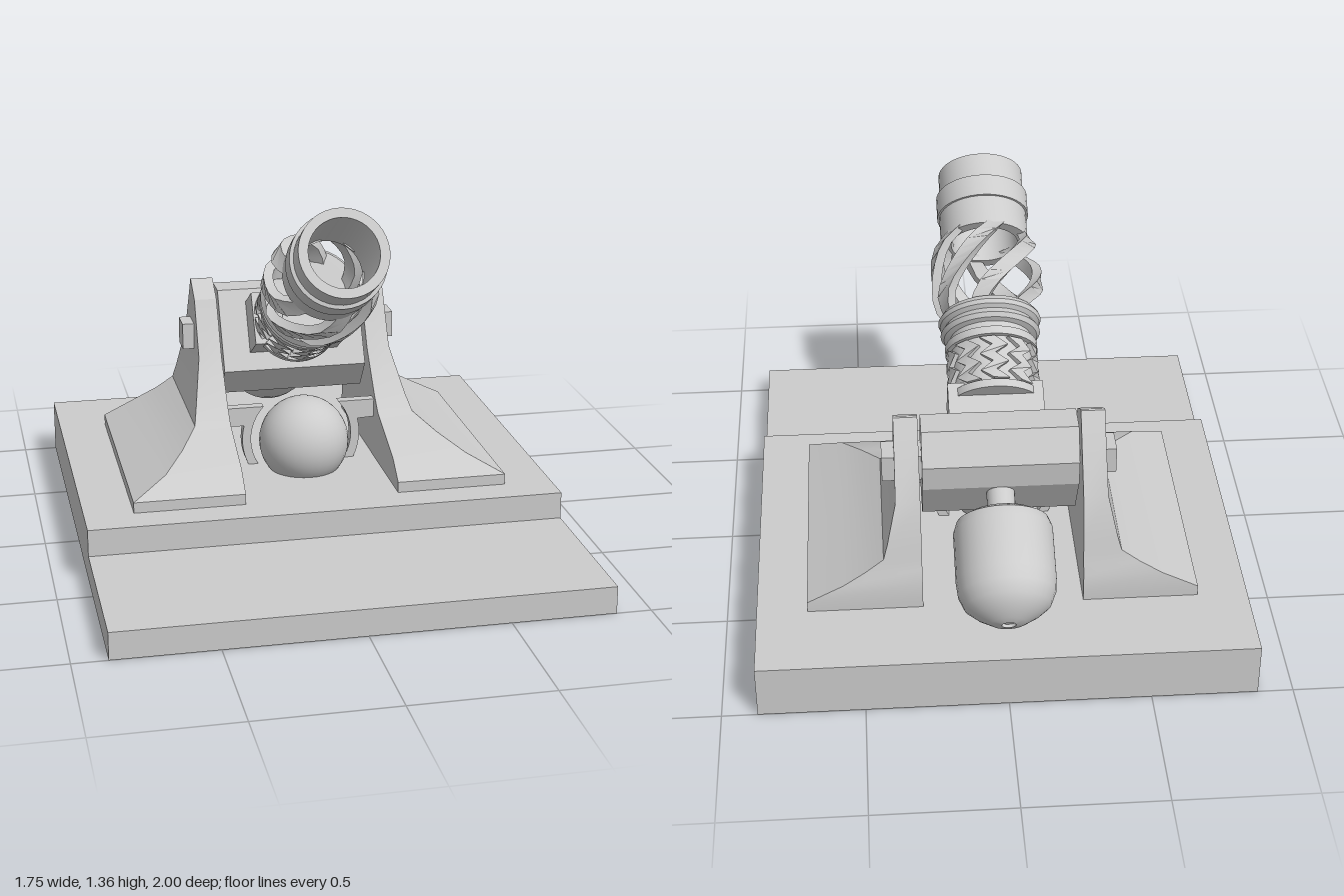
import * as THREE from 'three';
import { toCreasedNormals } from 'three/addons/utils/BufferGeometryUtils.js';

const material = new THREE.MeshStandardMaterial({ color: 0xcccccc });

function add(parent, name, geometry, x = 0, y = 0, z = 0) {
  const mesh = new THREE.Mesh(geometry, material);
  mesh.name = name;
  mesh.position.set(x, y, z);
  parent.add(mesh);
  return mesh;
}

// Skin a list of equal-length rings (counter-clockwise about the travel direction), capped at both ends
function loft(rings, crease = 0.5) {
  const n = rings[0].length, index = [];
  for (let i = 0; i < rings.length - 1; i++) {
    for (let j = 0; j < n; j++) {
      const a = i * n + j, b = i * n + (j + 1) % n;
      index.push(a, b, b + n, a, b + n, a + n);
    }
  }
  const last = (rings.length - 1) * n;
  for (let j = 1; j < n - 1; j++) {
    index.push(0, j + 1, j, last, last + j, last + j + 1);
  }
  const geometry = new THREE.BufferGeometry();
  geometry.setAttribute('position', new THREE.Float32BufferAttribute(rings.flat(2), 3));
  geometry.setIndex(index);
  return toCreasedNormals(geometry, crease);
}

function lathe(profile, segments = 40) {
  const points = profile.map(([r, y]) => new THREE.Vector2(r, y));
  return toCreasedNormals(new THREE.LatheGeometry(points, segments), 0.5);
}

// Strip that hugs the barrel: stations are [angle, height, inner radius, outer radius]
function strip(stations, halfAngle) {
  return loft(stations.map(([a, y, r0, r1]) =>
    [[-1, r0], [1, r0], [1, r1], [-1, r1]].map(([side, r]) => {
      const t = a + side * halfAngle;
      return [Math.sin(t) * r, y, -Math.cos(t) * r];
    })));
}

export function createModel() {
  const model = new THREE.Group();
  model.name = 'mortar';

  // Stepped base
  add(model, 'baseSlab', new THREE.BoxGeometry(1.75, 0.1, 2), 0, 0.05, 0);
  add(model, 'baseStep', new THREE.BoxGeometry(1.75, 0.1, 1.38), 0, 0.15, -0.31);

  // Flared side supports: [y, outer x, front z, back z]
  const levels = [
    [0.2, 0.695, 0.255, -0.7], [0.24, 0.695, 0.255, -0.7], [0.305, 0.565, 0.17, -0.695],
    [0.35, 0.485, 0.05, -0.68], [0.396, 0.42, -0.07, -0.67], [0.45, 0.405, -0.13, -0.658],
    [0.6, 0.372, -0.26, -0.62], [0.8, 0.37, -0.365, -0.5], [0.857, 0.37, -0.455, -0.465],
  ];
  for (const side of [1, -1]) {
    const rings = levels.map(([y, x, front, back]) => {
      const ring = [[0.285, front], [x, front], [x, back], [0.285, back]]
        .map(([px, pz]) => [side * px, y, pz]);
      return side > 0 ? ring : ring.reverse();
    });
    add(model, side > 0 ? 'leftSupport' : 'rightSupport', loft(rings));
  }

  // Square pivot pin
  add(model, 'pivotPin', new THREE.BoxGeometry(0.83, 0.1, 0.1), 0, 0.65, -0.433);

  // Ball and its cradle between the supports
  add(model, 'ball', new THREE.SphereGeometry(0.17, 32, 20), 0, 0.305, -0.09);
  for (const side of [1, -1]) {
    const shape = new THREE.Shape();
    shape.moveTo(side * 0.29, 0.43);
    for (let i = 0; i <= 10; i++) {
      const a = THREE.MathUtils.lerp(0.73, -0.54, i / 10);
      shape.lineTo(side * 0.195 * Math.cos(a), 0.3 + 0.195 * Math.sin(a));
    }
    for (let i = 0; i <= 8; i++) {
      const a = THREE.MathUtils.lerp(-0.45, 0.25, i / 8);
      shape.lineTo(side * 0.228 * Math.cos(a), 0.3 + 0.228 * Math.sin(a));
    }
    shape.lineTo(side * 0.29, 0.36);
    const cradle = new THREE.ExtrudeGeometry(shape, { depth: 0.04, bevelEnabled: false });
    add(model, side > 0 ? 'leftCradle' : 'rightCradle', cradle, 0, 0, -0.18);
  }

  // Tilting assembly: local y runs along the bore, local -z is its upper side
  const tilt = new THREE.Group();
  tilt.name = 'tiltingBarrel';
  tilt.position.set(0, 0.63, -0.433);
  tilt.rotation.x = Math.PI / 3;
  model.add(tilt);

  // Chamfered pivot block, outline given as [upward, along bore]
  const outline = [[0.15, 0.125], [0.205, 0.03], [0.14, -0.08], [0.05, -0.12],
    [-0.15, -0.12], [-0.225, -0.01], [-0.17, 0.115]];
  const blockShape = new THREE.Shape(outline.map(([v, u]) => new THREE.Vector2(v, u)));
  const block = new THREE.ExtrudeGeometry(blockShape, { depth: 0.55, bevelEnabled: false });
  block.translate(0, 0, -0.275).rotateY(Math.PI / 2);
  add(tilt, 'pivotBlock', block);
  add(tilt, 'barrelMount', new THREE.BoxGeometry(0.34, 0.17, 0.2), 0, 0.18, 0);

  // Breech with end rims and a double collar
  add(tilt, 'breech', lathe([
    [0, 0.215], [0.168, 0.215], [0.168, 0.245], [0.15, 0.245], [0.15, 0.425], [0.168, 0.425],
    [0.168, 0.455], [0.148, 0.46], [0.148, 0.485], [0.17, 0.49], [0.182, 0.505], [0.17, 0.522],
    [0.165, 0.53], [0.182, 0.54], [0.188, 0.555], [0.175, 0.575], [0.13, 0.575], [0, 0.56],
  ]));

  // Raised zigzags around the breech
  const zigzags = 10;
  for (let i = 0; i < zigzags; i++) {
    const a = i / zigzags * Math.PI * 2;
    const stations = [];
    for (let k = 0; k <= 5; k++) {
      stations.push([a + (k % 2 ? 0.14 : -0.14), 0.252 + k * 0.033, 0.14, 0.168]);
    }
    add(tilt, 'zigzag', strip(stations, 0.17));
  }

  // Open cage of twisted, bulging struts
  const struts = 6;
  for (let i = 0; i < struts; i++) {
    const a = (i + 0.5) / struts * Math.PI * 2;
    const stations = [];
    for (let k = 0; k <= 10; k++) {
      const t = k / 10;
      const r = 0.155 + 0.05 * Math.min(1, 1.5 * Math.sin(Math.PI * t));
      stations.push([a + 0.85 - 1.7 * t, 0.56 + 0.35 * t, r - 0.035, r]);
    }
    add(tilt, 'cageStrut', strip(stations, 0.19));
  }

  // Hollow muzzle
  add(tilt, 'muzzle', lathe([
    [0.124, 0.885], [0.163, 0.885], [0.163, 1.0], [0.171, 1.0], [0.171, 1.085],
    [0.158, 1.09], [0.158, 1.185], [0.124, 1.185], [0.124, 0.885],
  ]));

  // Counterweight on a neck behind the pivot
  add(tilt, 'counterweightNeck', new THREE.CylinderGeometry(0.05, 0.05, 0.2, 20), 0, -0.16, 0);
  add(tilt, 'counterweight', lathe([
    [0, -0.6], [0.025, -0.6], [0.025, -0.612], [0.06, -0.605], [0.113, -0.575], [0.15, -0.545],
    [0.17, -0.5], [0.175, -0.45], [0.175, -0.27], [0.163, -0.235], [0.13, -0.215],
    [0.08, -0.203], [0, -0.2],
  ], 32));

  return model;
}
